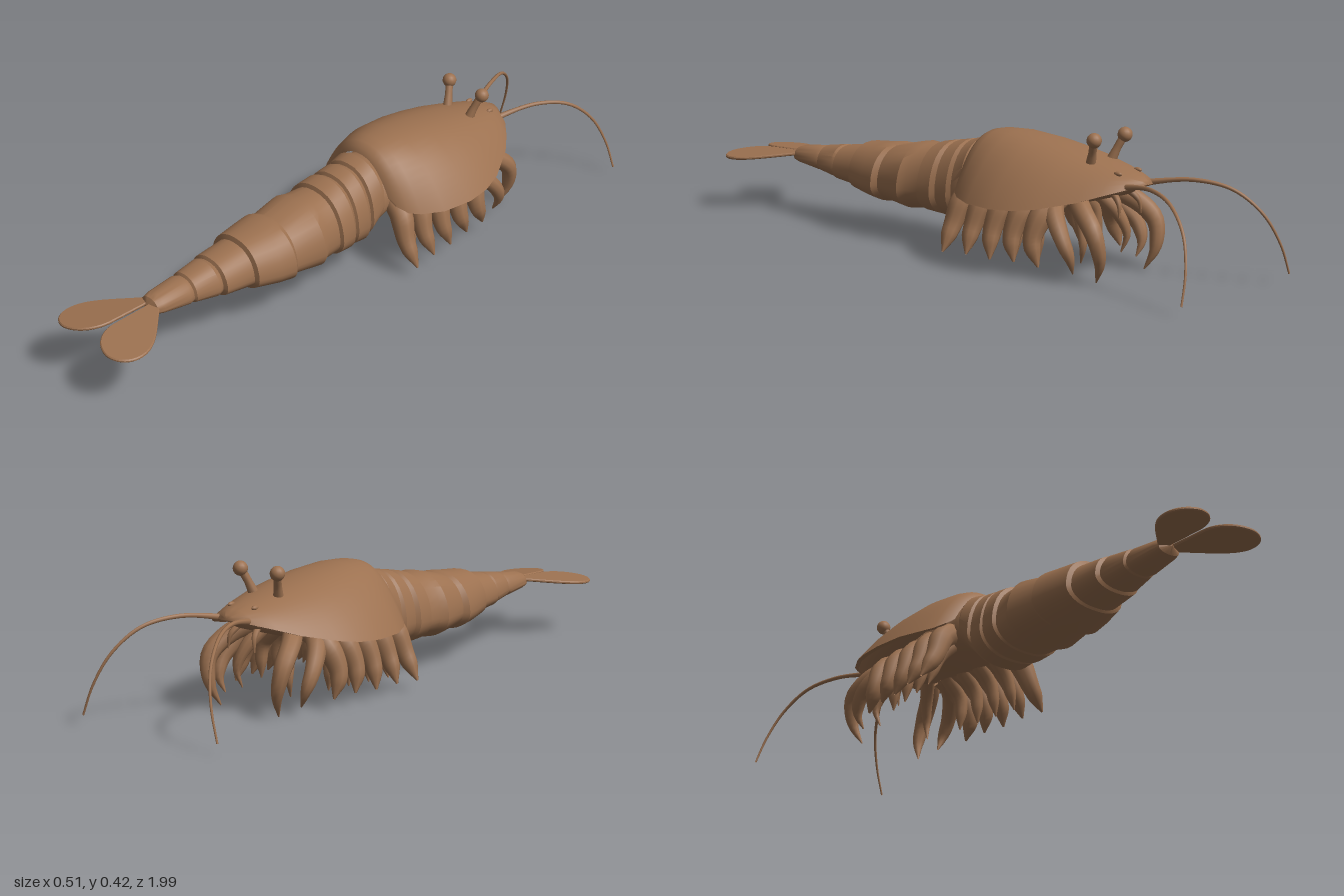
import * as THREE from 'three';
import { toCreasedNormals, mergeVertices } from 'three/addons/utils/BufferGeometryUtils.js';

const V = (p, s = 1) => new THREE.Vector3(p[0] * s, p[1], p[2]);

// Skin closed cross-sections that follow one another along +z
function loft(rings, crease) {
  const m = rings[0].length, index = [];
  for (let i = 0; i < rings.length - 1; i++) {
    for (let j = 0; j < m; j++) {
      const a = i * m + j, b = i * m + (j + 1) % m;
      index.push(a, b, a + m, b, b + m, a + m);
    }
  }
  const g = new THREE.BufferGeometry();
  g.setAttribute('position', new THREE.Float32BufferAttribute(rings.flat(2), 3));
  g.setIndex(index);
  return toCreasedNormals(g, crease);
}

// Tube through points, with a radius for each stage along its length
function limb(points, radii, s = 1, n = 18, m = 9) {
  const curve = new THREE.CatmullRomCurve3(points.map(p => V(p, s)));
  const g = new THREE.TubeGeometry(curve, n, 1, m);
  const pos = g.attributes.position, v = new THREE.Vector3();
  for (let k = 0; k < pos.count; k++) {
    const t = Math.floor(k / (m + 1)) / n, c = curve.getPointAt(t);
    const f = t * (radii.length - 1), i = Math.min(Math.floor(f), radii.length - 2);
    const r = THREE.MathUtils.lerp(radii[i], radii[i + 1], f - i);
    v.fromBufferAttribute(pos, k).sub(c).multiplyScalar(r).add(c);
    pos.setXYZ(k, v.x, v.y, v.z);
  }
  g.deleteAttribute('normal');
  g.deleteAttribute('uv');
  const merged = mergeVertices(g, 1e-5);
  merged.computeVertexNormals();
  return merged;
}

// Body section: domed back above a shallow belly
function bodyRing([z, w, top, bottom]) {
  const mid = bottom + 0.34 * (top - bottom), ring = [];
  for (let j = 0; j < 32; j++) {
    const a = j / 32 * Math.PI * 2, c = Math.cos(a), s = Math.sin(a);
    const x = w * Math.sign(c) * Math.abs(c) ** 0.85;
    ring.push([x, mid + s * (s > 0 ? top - mid : mid - bottom), z]);
  }
  return ring;
}

// Shell section: outer arch one way, inner arch back
function shellRing([z, w, top, edge, thick]) {
  const ring = [], n = 28;
  for (const side of [1, -1]) {
    const t = side > 0 ? 0 : thick;
    for (let j = 0; j <= n; j++) {
      const u = side * Math.sin((1 - 2 * j / n) * Math.PI / 2);
      ring.push([(w - t) * u, edge + (top - t - edge) * (1 - Math.abs(u) ** 2.3), z]);
    }
  }
  return ring;
}

export function createModel() {
  const model = new THREE.Group();
  const brown = new THREE.MeshStandardMaterial({ color: 0x9c7150, side: THREE.DoubleSide });
  brown.name = 'shell brown';
  const add = (name, geometry) => {
    const mesh = new THREE.Mesh(geometry, brown);
    mesh.name = name;
    model.add(mesh);
    return mesh;
  };

  // Thorax hidden under the shell: z, half width, top, bottom
  add('thorax', loft([
    [-0.63, 0.001, 0.27, 0.268], [-0.6, 0.05, 0.285, 0.245], [-0.45, 0.09, 0.3, 0.2],
    [-0.25, 0.115, 0.32, 0.18], [-0.08, 0.12, 0.33, 0.16], [-0.03, 0.11, 0.33, 0.12],
  ].map(bodyRing), 0.7));

  // Abdomen with overlapping, stepped segments
  add('abdomen', loft([
    [-0.09, 0.105, 0.335, 0.17], [-0.06, 0.118, 0.348, 0.15], [-0.02, 0.118, 0.338, 0.105],
    [-0.015, 0.11, 0.328, 0.098], [0.0, 0.12, 0.334, 0.09], [0.045, 0.12, 0.325, 0.095],
    [0.05, 0.112, 0.315, 0.1], [0.065, 0.125, 0.322, 0.092], [0.115, 0.127, 0.312, 0.096],
    [0.12, 0.116, 0.3, 0.1], [0.17, 0.12, 0.3, 0.098], [0.195, 0.134, 0.302, 0.093],
    [0.295, 0.117, 0.28, 0.105], [0.31, 0.132, 0.284, 0.1], [0.36, 0.124, 0.278, 0.106],
    [0.435, 0.105, 0.272, 0.118], [0.44, 0.09, 0.258, 0.125], [0.535, 0.08, 0.247, 0.135],
    [0.54, 0.066, 0.238, 0.143], [0.555, 0.07, 0.245, 0.138], [0.63, 0.057, 0.234, 0.15],
    [0.635, 0.05, 0.226, 0.154], [0.65, 0.054, 0.23, 0.152], [0.74, 0.044, 0.22, 0.163],
    [0.76, 0.038, 0.214, 0.168], [0.775, 0.001, 0.192, 0.19],
  ].map(bodyRing), 0.5));

  // Broad hollow carapace: z, half width, top, edge height, thickness
  add('carapace', loft([
    [-0.675, 0.001, 0.285, 0.283, 0], [-0.668, 0.03, 0.295, 0.28, 0.004],
    [-0.64, 0.082, 0.307, 0.27, 0.01], [-0.6, 0.125, 0.318, 0.256, 0.012],
    [-0.55, 0.168, 0.33, 0.238, 0.014], [-0.45, 0.225, 0.352, 0.214, 0.015],
    [-0.38, 0.247, 0.364, 0.203, 0.015], [-0.3, 0.255, 0.376, 0.198, 0.015],
    [-0.2, 0.242, 0.385, 0.198, 0.015], [-0.13, 0.208, 0.383, 0.202, 0.014],
    [-0.1, 0.185, 0.377, 0.208, 0.012], [-0.08, 0.155, 0.366, 0.225, 0.008],
    [-0.072, 0.125, 0.35, 0.245, 0],
  ].map(shellRing), 0.9));

  // Tail fan blade outline and droop
  const bladeGeometry = s => {
    const shape = new THREE.Shape();
    shape.moveTo(0.004 * s, 0.745);
    shape.lineTo(0.038 * s, 0.755);
    shape.bezierCurveTo(0.09 * s, 0.81, 0.16 * s, 0.86, 0.164 * s, 0.92);
    shape.bezierCurveTo(0.168 * s, 0.97, 0.13 * s, 0.997, 0.095 * s, 0.996);
    shape.bezierCurveTo(0.045 * s, 0.99, 0.01 * s, 0.95, 0.006 * s, 0.9);
    shape.closePath();
    const g = new THREE.ExtrudeGeometry(shape, {
      depth: 0.004, curveSegments: 12, bevelThickness: 0.003, bevelSize: 0.003, bevelOffset: -0.003, bevelSegments: 1,
    });
    g.rotateX(Math.PI / 2);
    const p = g.attributes.position;
    for (let i = 0; i < p.count; i++) {
      p.setY(i, p.getY(i) + 0.198 - 0.1 * Math.abs(p.getX(i)) - 0.03 * (p.getZ(i) - 0.75));
    }
    g.computeVertexNormals();
    return g;
  };

  for (const s of [1, -1]) {
    const side = s > 0 ? 'left' : 'right';
    add(side + 'TailBlade', bladeGeometry(s));

    // Eye on a stalk, and a small bump ahead of it
    add(side + 'EyeStalk', limb([[0.046, 0.325, -0.505], [0.055, 0.36, -0.518], [0.068, 0.4, -0.535]],
      [0.016, 0.012, 0.012], s, 8));
    const eye = add(side + 'Eye', new THREE.SphereGeometry(0.022, 16, 12));
    eye.position.set(0.07 * s, 0.403, -0.537);
    const bump = add(side + 'BrowBump', new THREE.SphereGeometry(0.01, 10, 8));
    bump.position.set(0.045 * s, 0.312, -0.605);
    bump.scale.set(0.7, 0.7, 1.4);

    // Long whip antenna and a short feeler
    add(side + 'Antenna', limb([
      [0.04, 0.265, -0.59], [0.06, 0.283, -0.66], [0.1, 0.296, -0.77], [0.145, 0.275, -0.87],
      [0.185, 0.21, -0.945], [0.222, 0.12, -0.983], [0.252, 0.033, -0.994],
    ], [0.012, 0.007, 0.006, 0.005, 0.004, 0.003], s, 36, 7));
    add(side + 'Feeler', limb([[0.03, 0.26, -0.57], [0.045, 0.225, -0.61], [0.05, 0.185, -0.615]],
      [0.012, 0.009, 0.002], s, 10, 7));

    // Leaf-like swimming legs, overlapping in a row
    for (let i = 0; i < 5; i++) {
      const z = -0.095 - 0.078 * i, out = 0.232 - 0.011 * i;
      add(side + 'Leg' + (i + 1), limb([
        [0.08, 0.225, z - 0.02], [0.145, 0.19, z - 0.01], [0.185, 0.11, z + 0.002], [out, 0.036 + 0.004 * (i % 2), z - 0.006 * i],
      ], [0.03, 0.036, 0.036, 0.03, 0.024, 0.003], s));
    }
    // Smaller inner legs
    for (let i = 0; i < 4; i++) {
      const z = -0.14 - 0.078 * i;
      add(side + 'InnerLeg' + (i + 1), limb([
        [0.07, 0.21, z], [0.125, 0.15, z - 0.005], [0.165 - 0.012 * i, 0.045, z - 0.01],
      ], [0.026, 0.026, 0.022, 0.018, 0.002], s, 14));
    }

    // Hooked front limbs
    add(side + 'MiddleClaw', limb([
      [0.08, 0.225, -0.4], [0.14, 0.185, -0.45], [0.17, 0.125, -0.505], [0.165, 0.07, -0.53], [0.145, 0.025, -0.525],
    ], [0.03, 0.03, 0.026, 0.02, 0.002], s));
    add(side + 'FrontClaw', limb([
      [0.06, 0.24, -0.46], [0.115, 0.21, -0.53], [0.14, 0.15, -0.597], [0.128, 0.07, -0.61], [0.11, 0.003, -0.583],
    ], [0.028, 0.03, 0.028, 0.02, 0.002], s));
    add(side + 'InnerClaw', limb([
      [0.045, 0.235, -0.44], [0.08, 0.17, -0.5], [0.1, 0.1, -0.525], [0.092, 0.045, -0.51],
    ], [0.022, 0.022, 0.015, 0.002], s, 14));
  }
  return model;
}
